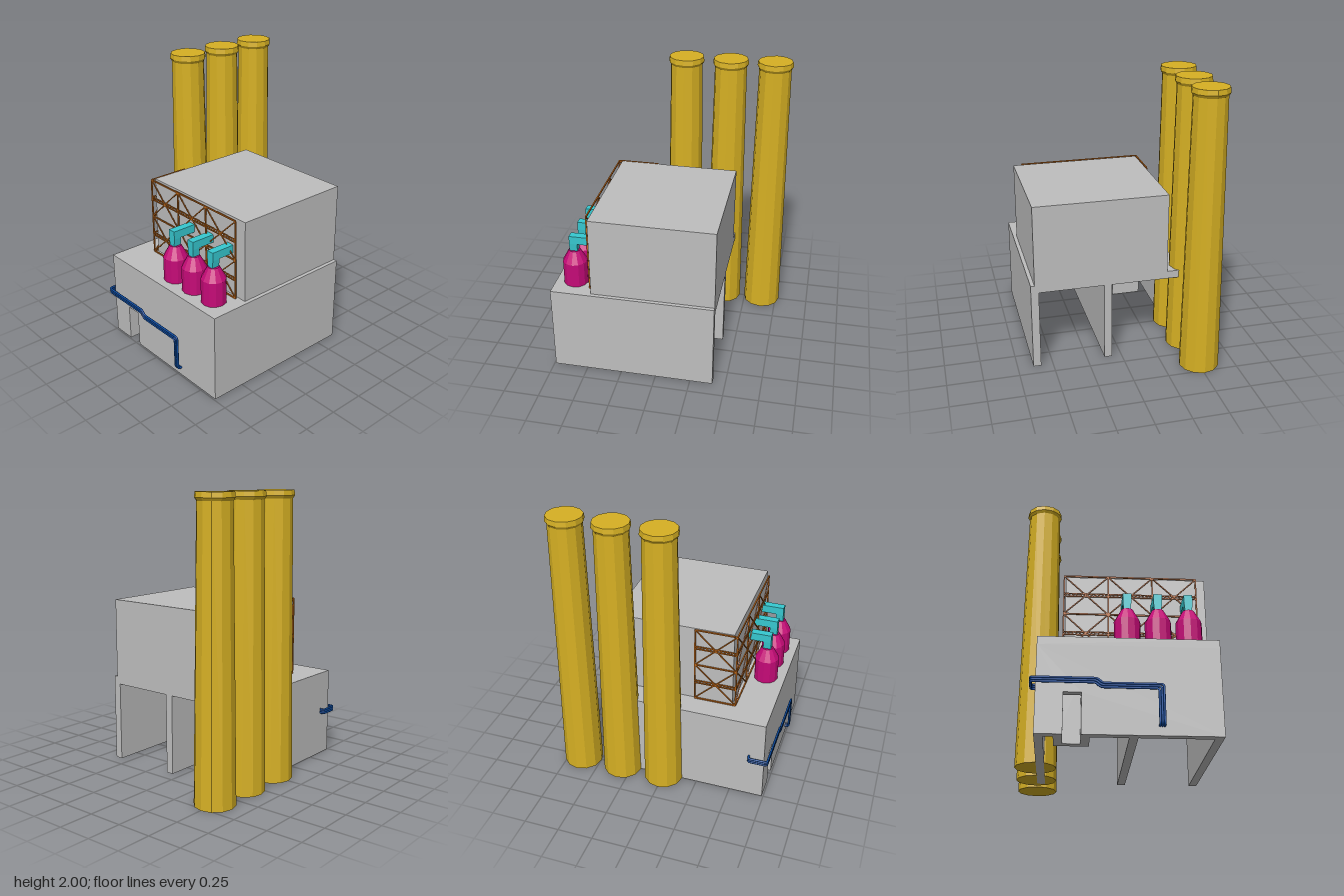
import * as THREE from 'three';

const mat = (name, color, flatShading = false) => {
  const m = new THREE.MeshStandardMaterial({ color, flatShading });
  m.name = name;
  return m;
};

export function createModel() {
  const concrete = mat('concrete grey', 0xbebebe, true);
  const yellow = mat('chimney yellow', 0xd6b023, true);
  const magenta = mat('tank magenta', 0xc60a78, true);
  const teal = mat('duct teal', 0x36c8d0, true);
  const orange = mat('scaffold orange', 0xbc6618, true);
  const blue = mat('pipe blue', 0x0a4a9f);

  const model = new THREE.Group();
  model.name = 'factory';
  const group = (name) => {
    const g = new THREE.Group();
    g.name = name;
    model.add(g);
    return g;
  };
  const add = (parent, name, geo, material) => {
    const m = new THREE.Mesh(geo, material);
    m.name = name;
    parent.add(m);
    return m;
  };
  // Box given by its limits on each axis
  const box = (parent, name, material, x0, x1, y0, y1, z0, z1) => {
    const g = new THREE.BoxGeometry(x1 - x0, y1 - y0, z1 - z0);
    g.translate((x0 + x1) / 2, (y0 + y1) / 2, (z0 + z1) / 2);
    return add(parent, name, g, material);
  };

  // Lower hall: open at the back and underneath, with two bays
  const hall = group('lowerHall');
  const T = 0.055, top = 0.575;
  box(hall, 'hallRoof', concrete, -0.5, 0.64, top, 0.63, -0.41, 0.74);
  box(hall, 'rightWall', concrete, -0.5, -0.5 + T, 0, top, -0.41, 0.74 - T);
  box(hall, 'leftWall', concrete, 0.64 - T, 0.64, 0, top, -0.41, 0.74 - T);
  box(hall, 'dividingWall', concrete, 0.07, 0.125, 0, top, -0.41, 0.74 - T);
  const wall = new THREE.Shape([
    [-0.5, 0], [-0.33, 0], [-0.33, 0.265], [-0.22, 0.265], [-0.22, 0], [0.64, 0], [0.64, top], [-0.5, top],
  ].map(([x, y]) => new THREE.Vector2(x, y)));
  const frontWall = new THREE.ExtrudeGeometry(wall, { depth: T, bevelEnabled: false });
  add(hall, 'frontWall', frontWall.translate(0, 0, 0.74 - T), concrete);

  // Entrance lobby behind the doorway
  box(hall, 'lobbySide', concrete, -0.385, -0.33, 0, top, 0.55, 0.74 - T);
  box(hall, 'lobbySide', concrete, -0.22, -0.165, 0, top, 0.55, 0.74 - T);
  box(hall, 'lobbyBack', concrete, -0.385, -0.165, 0, top, 0.5, 0.55);

  // Upper block
  box(model, 'upperBlock', concrete, -0.33, 0.613, 0.63, 1.205, -0.41, 0.455);

  // Chimneys with a flared rim
  const chimneyProfile = [[0, 0], [0.14, 0], [0.115, 1.945], [0.128, 1.965], [0.124, 2], [0, 2]]
    .map(([r, y]) => new THREE.Vector2(r, y));
  const chimneyGeo = new THREE.LatheGeometry(chimneyProfile, 12);
  const chimneys = group('chimneys');
  for (const z of [-0.637, -0.32, 0]) {
    add(chimneys, 'chimney', chimneyGeo, yellow).position.set(-0.505, 0, z);
  }

  // Tanks, each with an elbow duct into the upper block
  const tankProfile = [[0, 0], [0.086, 0], [0.086, 0.175], [0.04, 0.26], [0, 0.26]]
    .map(([r, y]) => new THREE.Vector2(r, y));
  const tankGeo = new THREE.LatheGeometry(tankProfile, 12);
  const riserGeo = new THREE.BoxGeometry(0.056, 0.06, 0.056);
  const p = riserGeo.attributes.position;
  for (let i = 0; i < p.count; i++) if (p.getY(i) < 0) p.setX(i, p.getX(i) * 0.8);
  const tanks = group('tanks');
  for (const x of [0.07, 0.27, 0.47]) {
    add(tanks, 'tank', tankGeo, magenta).position.set(x, 0.63, 0.6);
    add(tanks, 'ductRiser', riserGeo, teal).position.set(x, 0.915, 0.6);
    box(tanks, 'duct', teal, x - 0.028, x + 0.028, 0.945, 1.003, 0.45, 0.628);
  }

  // Scaffold made of thin square bars
  const scaffold = group('scaffold');
  const bar = (name, a, b, w = 0.009) => {
    const m = add(scaffold, name, new THREE.BoxGeometry(w, w, a.distanceTo(b)), orange);
    m.position.copy(a).add(b).multiplyScalar(0.5);
    m.lookAt(b);
  };
  // One face of scaffold; at(s, y) places a point s along the face
  const scaffoldFace = (at, bays, bay) => {
    const y0 = 0.635, rise = 0.2825, end = bays * bay;
    for (let i = 0; i <= bays; i++) bar('post', at(i * bay, y0), at(i * bay, y0 + 2 * rise));
    for (let j = 0; j <= 2; j++) bar('rail', at(0, y0 + j * rise), at(end, y0 + j * rise));
    for (let j = 0; j < 2; j++) {
      const lo = y0 + j * rise, hi = lo + rise, mid = (lo + hi) / 2;
      for (let i = 0; i < bays; i++) {
        bar('brace', at(i * bay, lo), at((i + 1) * bay, hi), 0.007);
        bar('brace', at(i * bay, hi), at((i + 1) * bay, lo), 0.007);
      }
      // Lattice girder
      for (const d of [-0.01, 0.01]) bar('girderChord', at(0, mid + d), at(end, mid + d), 0.007);
      const n = bays * 12, step = end / n;
      for (let k = 0; k < n; k++) {
        const d = k % 2 ? 0.01 : -0.01;
        bar('girderWeb', at(k * step, mid + d), at((k + 1) * step, mid - d), 0.005);
      }
    }
  };
  scaffoldFace((s, y) => new THREE.Vector3(-0.342 + s, y, 0.48), 3, 0.297);
  scaffoldFace((s, y) => new THREE.Vector3(-0.342, y, 0.48 - s), 1, 0.297);

  // Path of straight runs joined by rounded corners
  const roundedPath = (pts, r) => {
    const path = new THREE.CurvePath();
    let from = pts[0];
    for (let i = 1; i < pts.length - 1; i++) {
      const c = pts[i];
      const toward = (q) => c.clone().add(q.clone().sub(c).setLength(Math.min(r, q.distanceTo(c) * 0.45)));
      const a = toward(pts[i - 1]), b = toward(pts[i + 1]);
      path.add(new THREE.LineCurve3(from, a));
      path.add(new THREE.QuadraticBezierCurve3(a, c, b));
      from = b;
    }
    path.add(new THREE.LineCurve3(from, pts[pts.length - 1]));
    return path;
  };

  // Three parallel pipes wrapping round the front
  const pipes = group('pipes');
  for (const o of [-0.014, 0, 0.014]) {
    const pts = [
      [-0.49, 0.333 + o, 0.632], [-0.53, 0.333 + o, 0.632], [-0.53, 0.333 + o, 0.768],
      [-0.13 + o * 0.4, 0.333 + o, 0.768], [-0.1 + o * 0.4, 0.303 + o, 0.768],
      [0.264 + o, 0.303 + o, 0.768], [0.264 + o, 0.062, 0.768], [0.264 + o, 0.062, 0.735],
    ].map((q) => new THREE.Vector3(...q));
    add(pipes, 'pipe', new THREE.TubeGeometry(roundedPath(pts, 0.02), 180, 0.0075, 8), blue);
  }

  return model;
}
